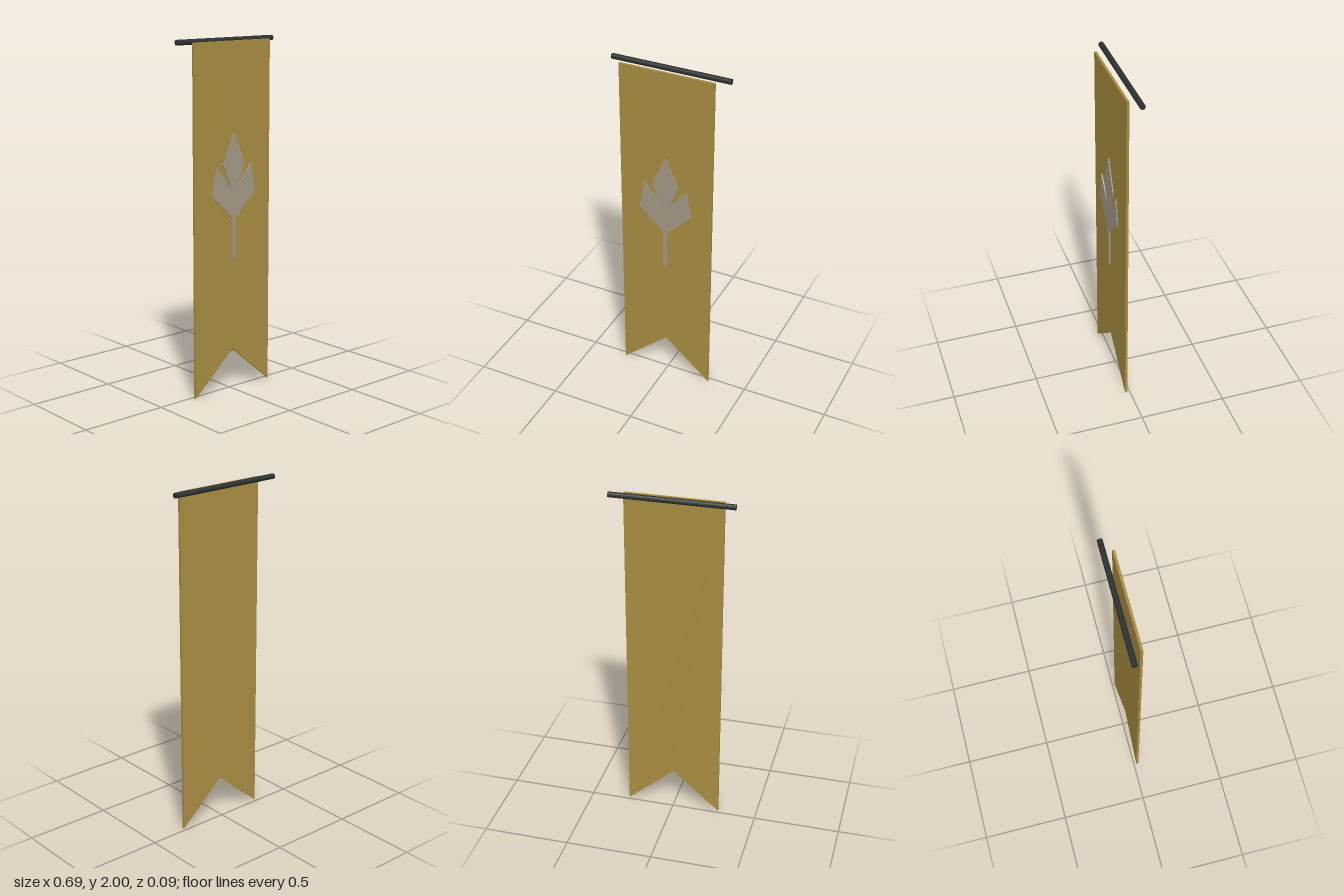
import * as THREE from 'three';

const mat = (color) => new THREE.MeshStandardMaterial({ color, flatShading: true });

// Flat plate cut from an outline given by its right half, top to bottom, mirrored in x
function plate(name, half, zBack, depth, material) {
  const left = half.filter(([x]) => x > 0).reverse().map(([x, y]) => [-x, y]);
  const shape = new THREE.Shape([...half, ...left].map(([x, y]) => new THREE.Vector2(x, y)));
  const geo = new THREE.ExtrudeGeometry(shape, { depth, bevelEnabled: false });
  const mesh = new THREE.Mesh(geo, material);
  mesh.position.z = zBack;
  mesh.name = name;
  return mesh;
}

export function createModel() {
  const group = new THREE.Group();
  group.name = 'hangingBanner';
  const cloth = mat(0xa88d40), silver = mat(0xa39885), iron = mat(0x2b302f);

  // Horizontal rod behind the top edge
  const rod = new THREE.Mesh(new THREE.CylinderGeometry(0.0153, 0.0153, 0.688, 12), iron);
  rod.rotation.z = Math.PI / 2;
  rod.position.set(0, 1.985, -0.0305);
  rod.name = 'rod';
  group.add(rod);

  // Cloth with a swallowtail notch
  group.add(plate('cloth', [[0.275, 1.985], [0.275, 0], [0, 0.24]], 0.0155, 0.0138, cloth));

  // Raised three-pointed leaf
  const leaf = [[0, 1.488], [0.078, 1.308], [0.025, 1.178], [0.127, 1.305], [0.158, 1.143], [0, 0.99]];
  group.add(plate('leaf', leaf, 0.035, 0.0065, silver));

  // Leaf stem
  const stem = new THREE.Mesh(new THREE.BoxGeometry(0.021, 0.23, 0.0105), silver);
  stem.position.set(0, 0.885, 0.037);
  stem.name = 'stem';
  group.add(stem);

  return group;
}
